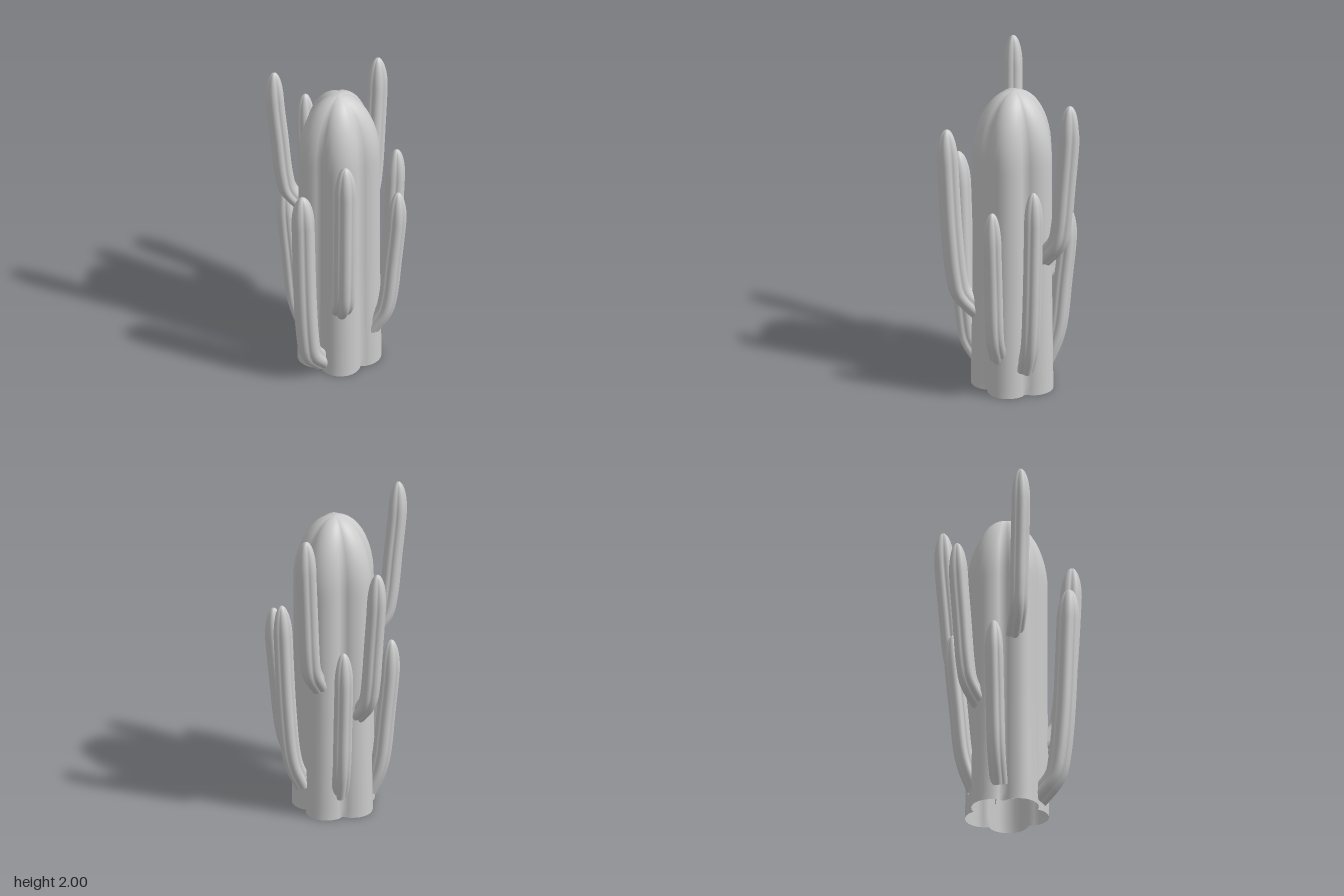
import * as THREE from 'three';

const material = new THREE.MeshStandardMaterial({ color: 0xcccccc, side: THREE.DoubleSide });
const SIDES = 50, LOBES = 5;

// Sweeps a five-lobed section along a curve lying in one vertical plane;
// the last domeLength of the curve closes in a rounded tip.
function ribbedStem(name, curve, heading, radius, domeLength, notch, baseScale) {
  const length = curve.getLength();
  const domeStart = 1 - domeLength / length;
  const stations = [];
  for (let i = 0; i < 24; i++) stations.push([domeStart * i / 24, 1, 0]);
  for (let i = 0; i <= 12; i++) {
    const a = i / 12 * Math.PI / 2;
    stations.push([domeStart + (1 - domeStart) * Math.sin(a), Math.max(Math.cos(a), 0.002), i / 12]);
  }
  const side = new THREE.Vector3(0, 1, 0).cross(heading).normalize();
  const positions = [], index = [];
  stations.forEach(([t, scale, fade], row) => {
    const p = curve.getPointAt(Math.min(t, 1));
    const out = new THREE.Vector3().crossVectors(side, curve.getTangentAt(Math.min(t, 1))).negate();
    if (out.dot(heading) < 0) out.negate();
    const taper = baseScale + (1 - baseScale) * Math.min(1, t * 3);
    const depth = notch * (1 - 0.4 * fade);
    for (let j = 0; j < SIDES; j++) {
      const a = j / SIDES * Math.PI * 2;
      const lobe = 1 - depth * (1 - Math.pow(Math.abs(Math.cos(a * LOBES / 2)), 0.85));
      const r = radius * scale * taper * lobe;
      const v = p.clone().addScaledVector(out, r * Math.cos(a)).addScaledVector(side, r * Math.sin(a));
      positions.push(v.x, v.y, v.z);
      if (row > 0) {
        const k = (j + 1) % SIDES, lo = (row - 1) * SIDES, hi = row * SIDES;
        index.push(lo + j, lo + k, hi + k, lo + j, hi + k, hi + j);
      }
    }
  });
  const geometry = new THREE.BufferGeometry();
  geometry.setAttribute('position', new THREE.Float32BufferAttribute(positions, 3));
  geometry.setIndex(index);
  geometry.computeVertexNormals();
  const mesh = new THREE.Mesh(geometry, material);
  mesh.name = name;
  return mesh;
}

// Arm leaving the trunk at a slant, then bending upright to its tip
function arm(name, [bx, bz], baseY, [tx, tz], tipY, radius) {
  const heading = new THREE.Vector3(tx - bx, 0, tz - bz);
  const reach = heading.length();
  heading.normalize();
  const at = (back, y) => new THREE.Vector3(tx, y, tz).addScaledVector(heading, -back);
  const curve = new THREE.CatmullRomCurve3([
    at(reach, baseY),
    at(0.085, baseY + 0.125),
    at(0.06, baseY + 0.23),
    at(0.033, baseY + 0.5),
    at(0.008, Math.max(baseY + 0.72, tipY - 0.2)),
    at(0, tipY),
  ]);
  return ribbedStem(name, curve, heading, radius, 0.2, 0.18, 0.95);
}

export function createModel() {
  const group = new THREE.Group();
  group.name = 'cactus';

  // Trunk, open at the bottom
  const axis = new THREE.LineCurve3(new THREE.Vector3(-0.007, 0, 0), new THREE.Vector3(-0.007, 1.83, 0));
  group.add(ribbedStem('trunk', axis, new THREE.Vector3(0, 0, -1), 0.238, 0.41, 0.22, 1.035));

  // Arms: name, base [x, z], base height, tip [x, z], tip height, radius
  const arms = [
    ['frontArm', [-0.008, 0.19], 0.06, [-0.008, 0.388], 1.34, 0.067],
    ['frontLeftArm', [0.105, 0.155], 0.44, [0.228, 0.305], 1.59, 0.064],
    ['leftArm', [0.19, -0.03], 0.235, [0.337, -0.085], 1.21, 0.055],
    ['backLeftArm', [0.12, -0.165], 0.17, [0.205, -0.28], 1.34, 0.056],
    ['backArm', [0.007, -0.21], 0.84, [0.007, -0.395], 1.84, 0.06],
    ['backRightArm', [-0.095, -0.15], 0.14, [-0.17, -0.262], 1.1, 0.055],
    ['rightRearArm', [-0.17, -0.08], 0.62, [-0.337, -0.165], 1.59, 0.056],
    ['rightArm', [-0.195, 0.035], 0.1, [-0.33, 0.058], 1.07, 0.055],
    ['rightFrontArm', [-0.155, 0.11], 1.04, [-0.308, 0.215], 2.0, 0.055],
  ];
  for (const spec of arms) group.add(arm(...spec));

  return group;
}
